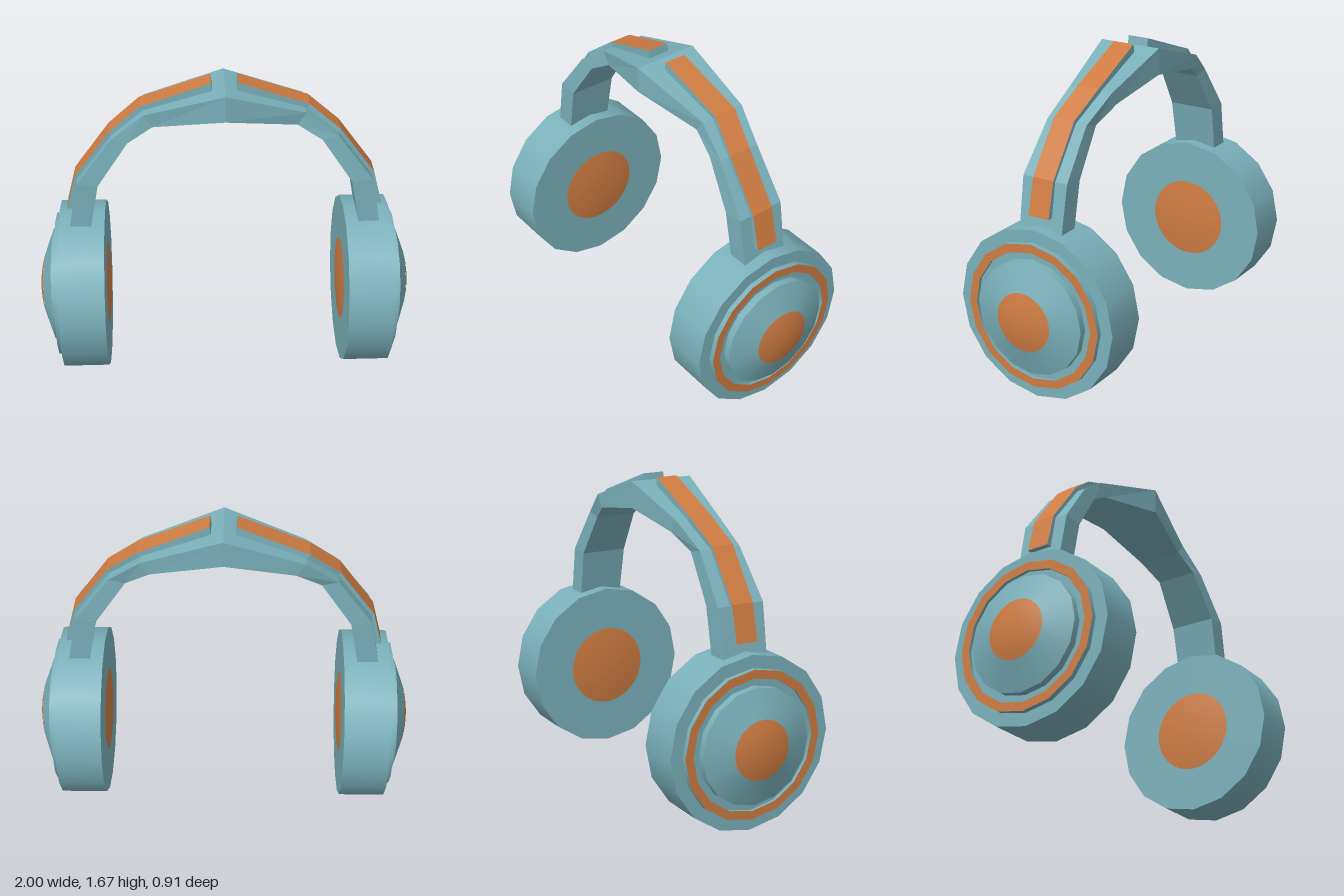
import * as THREE from 'three';

const teal = new THREE.MeshStandardMaterial({ color: 0x7ab0ba });
teal.name = 'teal';
const orange = new THREE.MeshStandardMaterial({ color: 0xcf7c42 });
orange.name = 'orange';

// Flat-faced sweep through four-cornered sections:
// each is { out: [x, y], inn: [x, y], front: z, back: z }, ordered by rising x.
// Group 0 is the outer face, group 1 all the other faces.
function sweep(sections) {
  const rings = sections.map(({ out, inn, front, back }) => [
    [...out, front], [...out, back], [...inn, back], [...inn, front],
  ]);
  const pos = [];
  const quad = (a, b, c, d) => pos.push(...a, ...b, ...c, ...a, ...c, ...d);
  for (let k = 0; k < 4; k++) {
    const n = (k + 1) % 4;
    for (let i = 0; i < rings.length - 1; i++) {
      quad(rings[i][k], rings[i + 1][k], rings[i + 1][n], rings[i][n]);
    }
  }
  const [a, b] = [rings[0], rings[rings.length - 1]];
  quad(a[0], a[1], a[2], a[3]);
  quad(b[3], b[2], b[1], b[0]);
  const geo = new THREE.BufferGeometry();
  geo.setAttribute('position', new THREE.Float32BufferAttribute(pos, 3));
  geo.computeVertexNormals();
  const top = (rings.length - 1) * 6;
  geo.addGroup(0, top, 0);
  geo.addGroup(top, pos.length / 3 - top, 1);
  return geo;
}

const mirror = (s) => ({ ...s, out: [-s.out[0], s.out[1]], inn: [-s.inn[0], s.inn[1]] });

function mesh(name, geo, mat) {
  const m = new THREE.Mesh(geo, mat);
  m.name = name;
  return m;
}

// Round part lying along x, from x0 (radius r0) to x1 (radius r1)
function disc(name, x0, r0, x1, r1, mat, open = false) {
  const geo = new THREE.CylinderGeometry(r1, r0, x1 - x0, 16, 1, open);
  geo.rotateZ(-Math.PI / 2).translate((x0 + x1) / 2, 0, 0);
  return mesh(name, geo, mat);
}

// Shallow round cap whose rim is at x0 and whose tip is at x1
function cap(name, x0, x1, r) {
  const pts = [];
  for (let i = 0; i <= 5; i++) {
    const t = i / 5;
    pts.push(new THREE.Vector2(r * (1 - t), (1 - (1 - t) ** 2) * Math.abs(x1 - x0)));
  }
  const geo = new THREE.LatheGeometry(pts, 32);
  geo.rotateZ(x1 > x0 ? -Math.PI / 2 : Math.PI / 2).translate(x0, 0, 0);
  return mesh(name, geo, orange);
}

function earCup(name) {
  const g = new THREE.Group();
  g.name = name;
  g.add(disc('cupBody', 0.635, 0.457, 0.877, 0.457, teal));
  g.add(disc('recessedPlate', 0.87, 0.36, 0.887, 0.36, teal));
  // raised ring: teal walls with an orange face
  g.add(disc('ringOuterWall', 0.875, 0.39, 0.904, 0.39, teal, true));
  const wall = disc('ringInnerWall', 0.875, 0.345, 0.904, 0.345, teal, true);
  wall.geometry.index.array.reverse();
  const normals = wall.geometry.attributes.normal;
  for (let i = 0; i < normals.array.length; i++) normals.array[i] *= -1;
  g.add(wall);
  const face = new THREE.RingGeometry(0.345, 0.39, 16);
  face.rotateY(Math.PI / 2).translate(0.904, 0, 0);
  g.add(mesh('ringFace', face, orange));
  // stepped dome with an orange centre, and the inner ear pad
  g.add(disc('domeWall', 0.88, 0.305, 0.925, 0.305, teal));
  g.add(disc('dome', 0.925, 0.305, 0.979, 0.155, teal));
  g.add(cap('domeCentre', 0.979, 1.0, 0.156));
  g.add(cap('earPad', 0.634, 0.618, 0.222));
  g.position.y = 0.457;
  return g;
}

export function createModel() {
  const model = new THREE.Group();
  model.name = 'headphones';

  // Ear cups
  const left = earCup('leftEarCup');
  const right = earCup('rightEarCup');
  right.rotation.y = Math.PI;
  model.add(left, right);

  // Headband, from the crown down to the left cup, then mirrored
  const half = [
    { out: [0, 1.645], inn: [0, 1.505], front: 0.17, back: -0.177 },
    { out: [0.415, 1.512], inn: [0.37, 1.445], front: 0.088, back: -0.16 },
    { out: [0.585, 1.385], inn: [0.5, 1.365], front: 0.108, back: -0.122 },
    { out: [0.768, 1.14], inn: [0.66, 1.13], front: 0.13, back: -0.13 },
    { out: [0.818, 0.87], inn: [0.708, 0.87], front: 0.125, back: -0.125 },
  ];
  const band = [...half.slice(1).reverse().map(mirror), ...half];
  model.add(mesh('headband', sweep(band), [teal, teal]));

  // Raised strips with orange tops
  const strip = [
    { out: [0.07, 1.667], inn: [0.062, 1.615], front: 0.05, back: -0.068 },
    { out: [0.437, 1.53], inn: [0.41, 1.49], front: 0.025, back: -0.097 },
    { out: [0.598, 1.402], inn: [0.57, 1.37], front: 0.06, back: -0.06 },
    { out: [0.783, 1.148], inn: [0.75, 1.13], front: 0.06, back: -0.06 },
    { out: [0.83, 0.962], inn: [0.79, 0.962], front: 0.06, back: -0.06 },
  ];
  model.add(mesh('leftStrip', sweep(strip), [orange, teal]));
  model.add(mesh('rightStrip', sweep([...strip].reverse().map(mirror)), [orange, teal]));
  return model;
}
